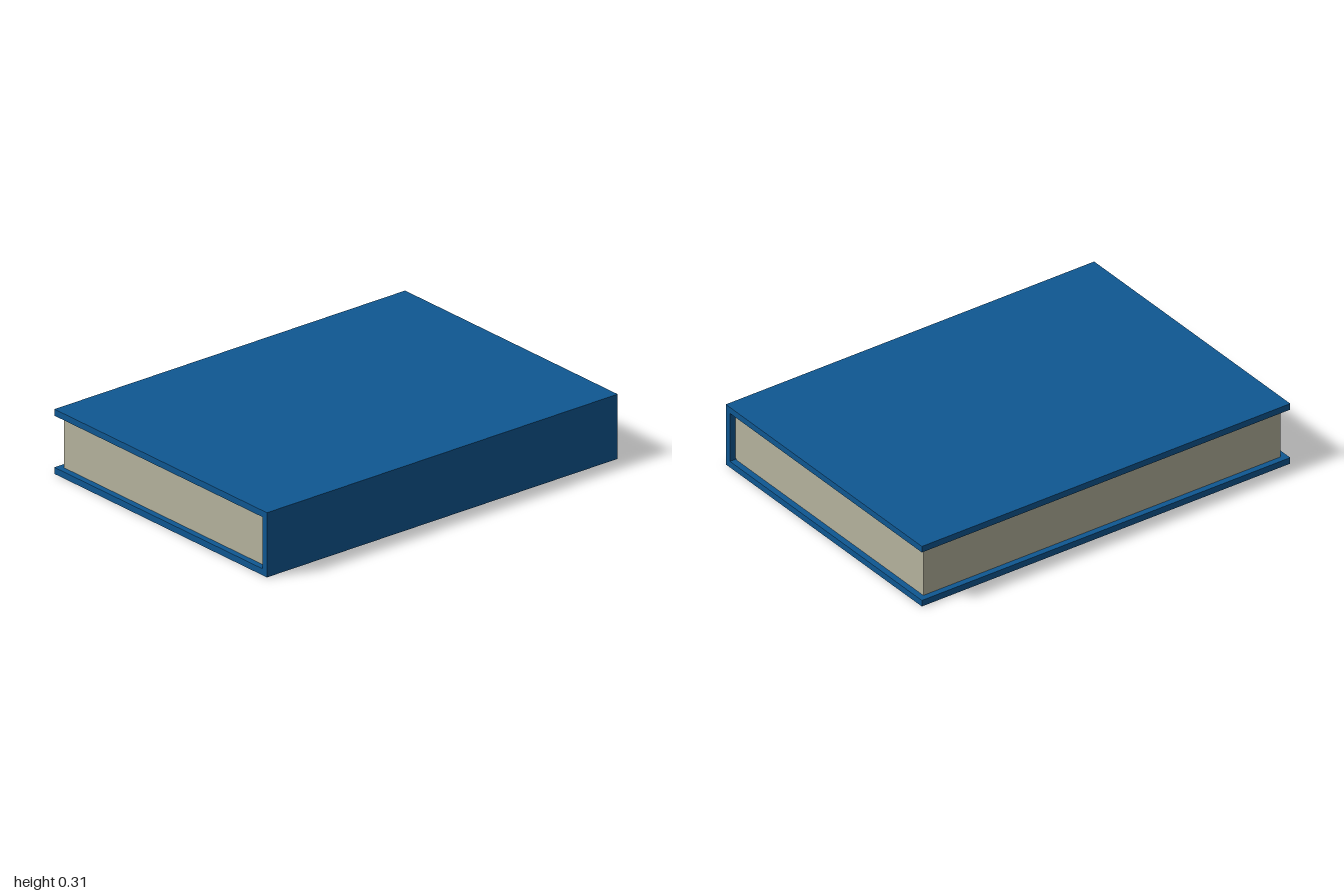
import * as THREE from 'three';

const WIDTH = 1.455, HEIGHT = 0.31, DEPTH = 2, BOARD = 0.031, INSET = 0.03;

// Extrude an outline in the xy plane, centred along z
function prism(points, depth, material, name) {
  const shape = new THREE.Shape(points.map(([x, y]) => new THREE.Vector2(x, y)));
  const geometry = new THREE.ExtrudeGeometry(shape, { depth, bevelEnabled: false });
  geometry.translate(0, 0, -depth / 2);
  const mesh = new THREE.Mesh(geometry, material);
  mesh.name = name;
  return mesh;
}

export function createModel() {
  const coverBlue = new THREE.MeshStandardMaterial({ color: 0x0f5792 });
  coverBlue.name = 'coverBlue';
  const paper = new THREE.MeshStandardMaterial({ color: 0xb6b39e });
  paper.name = 'paper';

  const book = new THREE.Group();
  book.name = 'book';
  const r = WIDTH / 2, low = BOARD, high = HEIGHT - BOARD;

  // Cover: two boards joined by the spine at +x
  book.add(prism([
    [-r, 0], [r, 0], [r, HEIGHT], [-r, HEIGHT],
    [-r, high], [r - BOARD, high], [r - BOARD, low], [-r, low],
  ], DEPTH, coverBlue, 'cover'));

  // Page block, set in from the cover edges, corners cut at the spine
  const spine = r - BOARD, cut = 0.01;
  book.add(prism([
    [-r + INSET, low], [spine - cut, low], [spine, low + cut],
    [spine, high - cut], [spine - cut, high], [-r + INSET, high],
  ], DEPTH - 2 * INSET, paper, 'pages'));

  return book;
}
